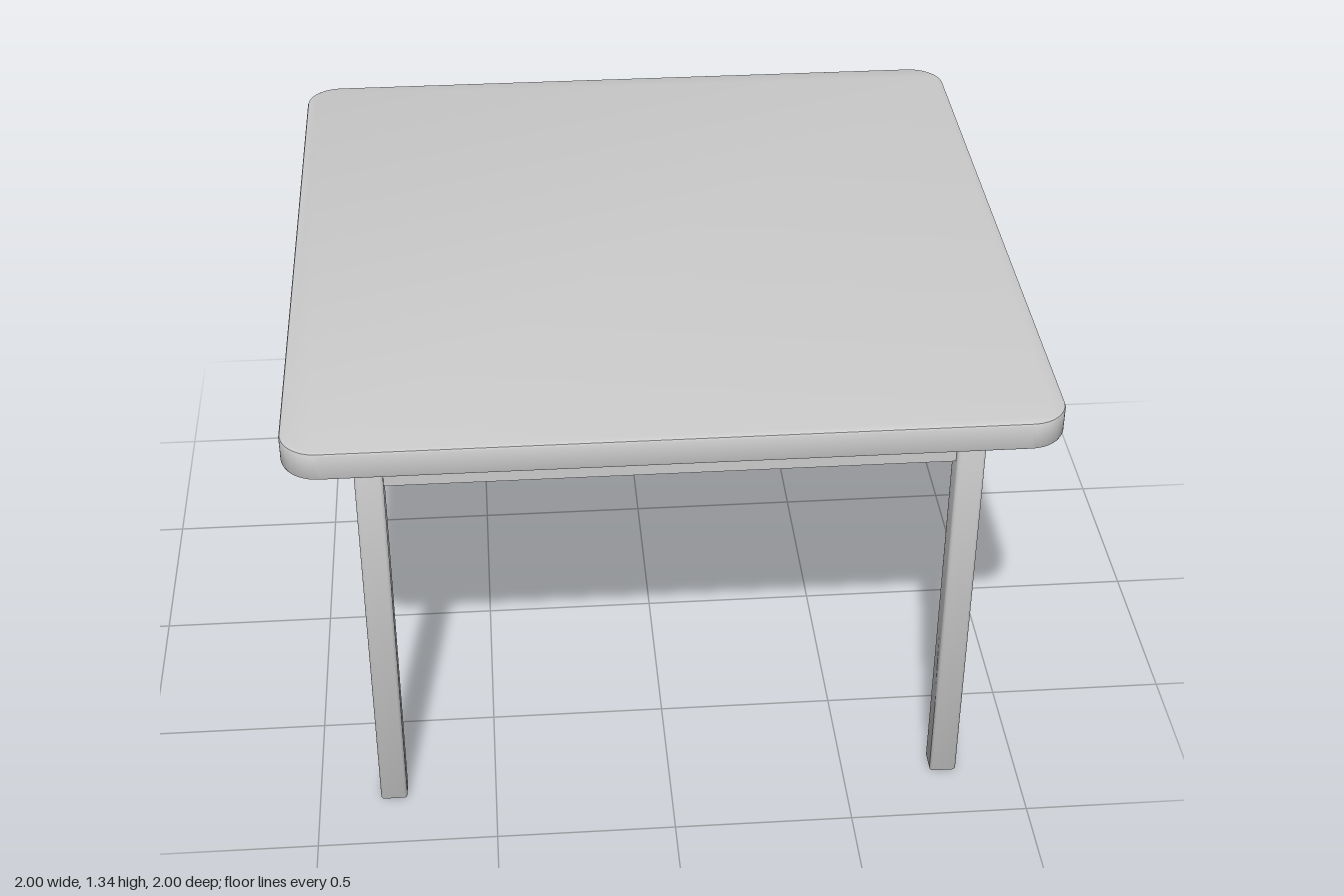
import * as THREE from 'three';
import { toCreasedNormals } from 'three/addons/utils/BufferGeometryUtils.js';

const material = new THREE.MeshStandardMaterial({ color: 0xcccccc });

// Upright square slab with rounded corners and softened top and bottom edges, standing on y = 0
function roundedSlab(size, height, radius, bevel, segments) {
  const h = size / 2, c = h - radius;
  const shape = new THREE.Shape();
  shape.moveTo(h, -c);
  shape.absarc(c, c, radius, 0, Math.PI / 2);
  shape.absarc(-c, c, radius, Math.PI / 2, Math.PI);
  shape.absarc(-c, -c, radius, Math.PI, Math.PI * 1.5);
  shape.absarc(c, -c, radius, Math.PI * 1.5, Math.PI * 2);
  const geometry = new THREE.ExtrudeGeometry(shape, {
    depth: height - 2 * bevel,
    bevelThickness: bevel,
    bevelSize: bevel,
    bevelOffset: -bevel,
    bevelSegments: 2,
    curveSegments: segments,
  });
  geometry.translate(0, 0, bevel).rotateX(-Math.PI / 2);
  return toCreasedNormals(geometry, 0.5);
}

export function createModel() {
  const table = new THREE.Group();
  table.name = 'table';
  const add = (name, geometry, x, y, z) => {
    const mesh = new THREE.Mesh(geometry, material);
    mesh.name = name;
    mesh.position.set(x, y, z);
    table.add(mesh);
    return mesh;
  };

  const underside = 1.255, legWidth = 0.075, legCentre = 0.79;

  // Table top
  add('tableTop', roundedSlab(2, 0.08, 0.1, 0.008, 12), 0, underside, 0);

  // Four legs
  const leg = roundedSlab(legWidth, underside, 0.01, 0.006, 3);
  for (const [end, z] of [['front', legCentre], ['back', -legCentre]]) {
    add(end + 'LeftLeg', leg, legCentre, 0, z);
    add(end + 'RightLeg', leg, -legCentre, 0, z);
  }

  // Four apron rails between the legs
  const railHeight = 0.165;
  const rail = new THREE.BoxGeometry(2 * legCentre - legWidth + 0.004, railHeight, 0.035);
  ['front', 'left', 'back', 'right'].forEach((side, i) => {
    const angle = (i * Math.PI) / 2;
    const mesh = add(side + 'Apron', rail,
      Math.sin(angle) * legCentre, underside - railHeight / 2, Math.cos(angle) * legCentre);
    mesh.rotation.y = angle;
  });

  return table;
}
